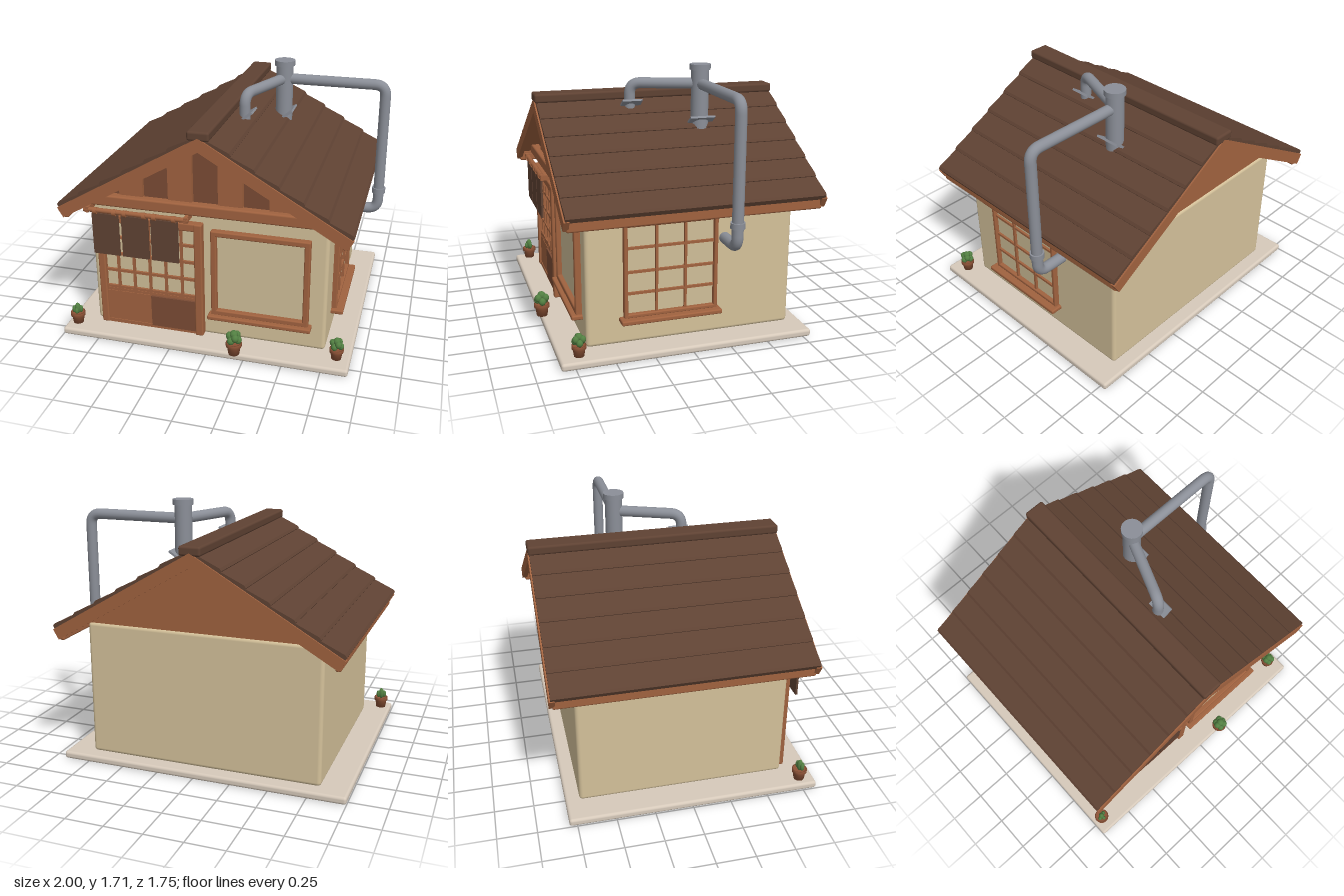
import * as THREE from 'three';
import { RoundedBoxGeometry } from 'three/addons/geometries/RoundedBoxGeometry.js';

const mat = (name, color) => Object.assign(new THREE.MeshStandardMaterial({ color }), { name });

export function createModel() {
  const M = {
    wall: mat('plaster', 0xd4c19a),
    paper: mat('windowPane', 0xd0be98),
    stone: mat('stoneBase', 0xd6c9ba),
    wood: mat('wood', 0xa0623f),
    dark: mat('darkWood', 0x7a4b34),
    roof: mat('roofBrown', 0x5f4233),
    metal: mat('pipeMetal', 0x8b8f98),
    pot: mat('clayPot', 0x8c5236),
    plant: mat('plantGreen', 0x527f42),
  };
  const root = new THREE.Group();
  root.name = 'house';
  const add = (name, geo, m, x = 0, y = 0, z = 0, parent = root) => {
    const mesh = new THREE.Mesh(geo, m);
    mesh.name = name;
    mesh.position.set(x, y, z);
    parent.add(mesh);
    return mesh;
  };
  // box given by its minimum and maximum corners, with optional rounding
  const box = (name, m, x0, x1, y0, y1, z0, z1, r = 0) => {
    const s = [x1 - x0, y1 - y0, z1 - z0];
    const g = r ? new RoundedBoxGeometry(...s, 3, r) : new THREE.BoxGeometry(...s);
    return add(name, g, m, (x0 + x1) / 2, (y0 + y1) / 2, (z0 + z1) / 2);
  };
  // front-facing profile extruded along z
  const prism = (name, m, pts, z0, z1) => {
    const shape = new THREE.Shape(pts.map(p => new THREE.Vector2(...p)));
    return add(name, new THREE.ExtrudeGeometry(shape, { depth: z1 - z0, bevelEnabled: false }), m, 0, 0, z0);
  };

  // base slab and walls
  box('base', M.stone, -1, 0.925, 0, 0.05, -0.8, 0.84, 0.018);
  box('walls', M.wall, -0.82, 0.75, 0.045, 0.95, -0.71, 0.65, 0.025);

  // roof: ridge runs along z at x = CX
  const CX = -0.035, APEX = 1.48, SLOPE = 0.585;
  const line = d => APEX - SLOPE * d;
  const under = d => 1.43 - SLOPE * Math.abs(d);
  prism('gableCore', M.wood, [[CX - 0.78, 0.93], [CX + 0.78, 0.93], [CX + 0.78, under(0.78)],
    [CX, 1.43], [CX - 0.78, under(0.78)]], -0.7, 0.64);
  for (const s of [-1, 1]) {
    const at = (d, y) => [CX + s * d, y];
    prism('roofDeck', M.wood, [at(0, line(0)), at(0.925, line(0.925)), at(0.91, line(0.91) - 0.04),
      at(0, line(0) - 0.05)], -0.84, 0.77);
    // overlapping rows of roof planks
    for (let i = 0; i < 6; i++) {
      const d = 0.945 - i * 0.15, u = Math.max(d - 0.18, 0);
      prism('roofPlank', M.roof, [at(d - 0.012, line(d) - 0.008), at(d + 0.004, line(d) + 0.02),
        at(d - 0.008, line(d) + 0.036), at(u, line(u) + 0.012), at(u, line(u) - 0.015)], -0.86, 0.79);
    }
    // sloping edge boards on both gables
    for (const z of [0.765, -0.87]) {
      prism('bargeBoard', M.wood, [at(0, line(0)), at(0.945, line(0.945)), at(0.907, line(0.945) - 0.065),
        at(0, line(0) - 0.088)], z, z + 0.035);
    }
    const fx = CX + s * 0.898;
    box('eaveFascia', M.wood, fx - 0.018, fx + 0.018, 0.852, 0.93, -0.85, 0.78, 0.012);
  }
  box('ridgeCap', M.roof, CX - 0.07, CX + 0.07, 1.46, 1.52, -0.87, 0.8, 0.015);

  // front gable cladding and tie beam
  for (let i = -4; i <= 4; i++) {
    const a = i * 0.163 - 0.079, b = a + 0.158, even = i % 2 === 0;
    const top = i === 0 ? [[b, under(b)], [0, 1.43], [a, under(a)]] : [[b, under(b)], [a, under(a)]];
    prism('gablePlank', even ? M.dark : M.wood,
      [[a, 0.95], [b, 0.95], ...top].map(([x, y]) => [CX + x, y]), 0.635, even ? 0.655 : 0.67);
  }
  box('tieBeam', M.wood, CX - 0.79, CX + 0.79, 0.93, 1.005, 0.63, 0.71, 0.012);

  // sliding front door
  box('doorPane', M.paper, -0.74, -0.09, 0.3, 0.83, 0.645, 0.656);
  box('doorPostLeft', M.wood, -0.775, -0.725, 0.05, 0.866, 0.63, 0.69, 0.01);
  box('doorPostRight', M.wood, -0.107, -0.053, 0.05, 0.866, 0.63, 0.7, 0.01);
  box('doorLintel', M.wood, -0.775, -0.053, 0.81, 0.866, 0.63, 0.695, 0.01);
  box('doorSill', M.wood, -0.74, -0.09, 0.05, 0.075, 0.63, 0.68);
  box('doorPanelLeft', M.wood, -0.735, -0.422, 0.07, 0.295, 0.63, 0.675);
  box('doorPanelRight', M.dark, -0.415, -0.1, 0.07, 0.295, 0.63, 0.685);
  for (let i = 0; i < 5; i++) {
    const x = -0.64 + i * 0.11;
    box('doorMullion', M.wood, x - 0.008, x + 0.008, 0.29, 0.82, 0.65, 0.674);
  }
  for (const y of [0.305, 0.325, 0.45, 0.575, 0.695])
    box('doorRail', M.wood, -0.74, -0.09, y - 0.009, y + 0.009, 0.65, 0.672);

  // door curtains on a rod
  const rod = add('curtainRod', new THREE.CylinderGeometry(0.016, 0.016, 0.7, 16), M.wood, -0.473, 0.912, 0.74);
  rod.rotation.z = Math.PI / 2;
  for (const x of [-0.68, -0.48, -0.282]) {
    box('curtain', M.roof, x - 0.09, x + 0.09, 0.605, 0.892, 0.733, 0.747);
    for (const o of [-0.065, 0.065]) {
      const ring = add('curtainLoop', new THREE.CylinderGeometry(0.022, 0.022, 0.025, 16), M.wood, x + o, 0.908, 0.74);
      ring.rotation.z = Math.PI / 2;
    }
  }
  for (const x of [-0.8, -0.14])
    box('rodBracket', M.wood, x - 0.012, x + 0.012, 0.895, 0.932, 0.64, 0.755);

  // front window
  box('frontPane', M.paper, 0.02, 0.62, 0.24, 0.81, 0.645, 0.657);
  for (const x of [0, 0.602]) box('frontWindowStile', M.wood, x, x + 0.038, 0.22, 0.83, 0.64, 0.69, 0.009);
  for (const y of [0.222, 0.792]) box('frontWindowRail', M.wood, 0, 0.64, y, y + 0.038, 0.64, 0.69, 0.009);
  box('frontWindowSill', M.wood, -0.02, 0.66, 0.198, 0.228, 0.64, 0.72, 0.009);

  // side window with lattice
  box('sidePane', M.paper, 0.745, 0.757, 0.24, 0.82, -0.18, 0.4);
  for (const z of [-0.197, 0.388]) box('sideWindowStile', M.wood, 0.74, 0.785, 0.22, 0.84, z, z + 0.025, 0.008);
  for (const y of [0.225, 0.815]) box('sideWindowRail', M.wood, 0.74, 0.785, y, y + 0.025, -0.197, 0.413, 0.008);
  for (const z of [0.014, 0.202]) box('sideMullion', M.wood, 0.745, 0.775, 0.23, 0.83, z - 0.008, z + 0.008);
  for (const y of [0.383, 0.523, 0.678]) box('sideLatticeRail', M.wood, 0.745, 0.772, y - 0.008, y + 0.008, -0.19, 0.4);
  box('sideWindowSill', M.wood, 0.74, 0.83, 0.198, 0.228, -0.217, 0.44, 0.009);

  // chimney with cap and pipes
  add('chimney', new THREE.CylinderGeometry(0.058, 0.058, 0.43, 32), M.metal, 0.265, 1.475, -0.25);
  add('chimneyCap', new THREE.CylinderGeometry(0.069, 0.069, 0.036, 32), M.metal, 0.265, 1.69, -0.25);
  const pipe = (name, r, pts, bend) => {
    const v = pts.map(p => new THREE.Vector3(...p)), path = new THREE.CurvePath();
    let from = v[0];
    for (let i = 1; i < v.length - 1; i++) {
      const a = v[i].clone().add(v[i - 1].clone().sub(v[i]).setLength(bend));
      const b = v[i].clone().add(v[i + 1].clone().sub(v[i]).setLength(bend));
      path.add(new THREE.LineCurve3(from, a));
      path.add(new THREE.QuadraticBezierCurve3(a, v[i], b));
      from = b;
    }
    path.add(new THREE.LineCurve3(from, v[v.length - 1]));
    add(name, new THREE.TubeGeometry(path, 120, r, 16), M.metal);
  };
  pipe('roofPipe', 0.036, [[0.265, 1.58, -0.25], [0.095, 1.58, 0.18], [0.095, 1.4, 0.18]], 0.075);
  pipe('wallPipe', 0.036, [[0.265, 1.58, -0.25], [0.953, 1.58, -0.25], [0.953, 0.68, -0.25], [0.74, 0.68, -0.25]], 0.075);
  add('pipeCollar', new THREE.CylinderGeometry(0.046, 0.046, 0.038, 24), M.metal, 0.953, 0.825, -0.25);
  for (const [x, y, z, w, d] of [[0.3, 1.345, -0.25, 0.09, 0.17], [0.12, 1.448, 0.175, 0.085, 0.135]]) {
    const plate = add('flashingPlate', new THREE.BoxGeometry(w, 0.014, d), M.metal, x, y, z);
    plate.rotation.z = 0.6;
  }

  // potted plants: lobes are [x, y, z, radius, height stretch]
  const potProfile = [[0, 0], [0.034, 0], [0.042, 0.055], [0.049, 0.055], [0.049, 0.078], [0.041, 0.078], [0.039, 0.068], [0, 0.068]]
    .map(p => new THREE.Vector2(...p));
  const cactus = [[0, 0.105, 0, 0.02, 2], [-0.021, 0.1, 0.008, 0.014, 1.9], [0.021, 0.1, -0.006, 0.014, 1.9], [0.002, 0.095, 0.022, 0.013, 1.6]];
  const bush = [[0, 0.135, 0, 0.026, 1]];
  for (let i = 0; i < 6; i++) {
    const a = i * Math.PI / 3;
    bush.push([Math.cos(a) * 0.027, 0.1 + (i % 2) * 0.022, Math.sin(a) * 0.027, 0.023, 1.1]);
  }
  for (const [x, z, lobes, k] of [[-0.93, 0.74, cactus, 1], [0.192, 0.83, bush, 1.05], [0.835, 0.715, bush, 0.93]]) {
    const g = new THREE.Group();
    g.name = 'pottedPlant';
    g.position.set(x, 0.05, z);
    g.scale.setScalar(k);
    root.add(g);
    add('pot', new THREE.LatheGeometry(potProfile, 24), M.pot, 0, 0, 0, g);
    for (const [lx, ly, lz, r, st] of lobes)
      add('leafLobe', new THREE.SphereGeometry(r, 14, 10), M.plant, lx, ly, lz, g).scale.y = st;
  }
  return root;
}
